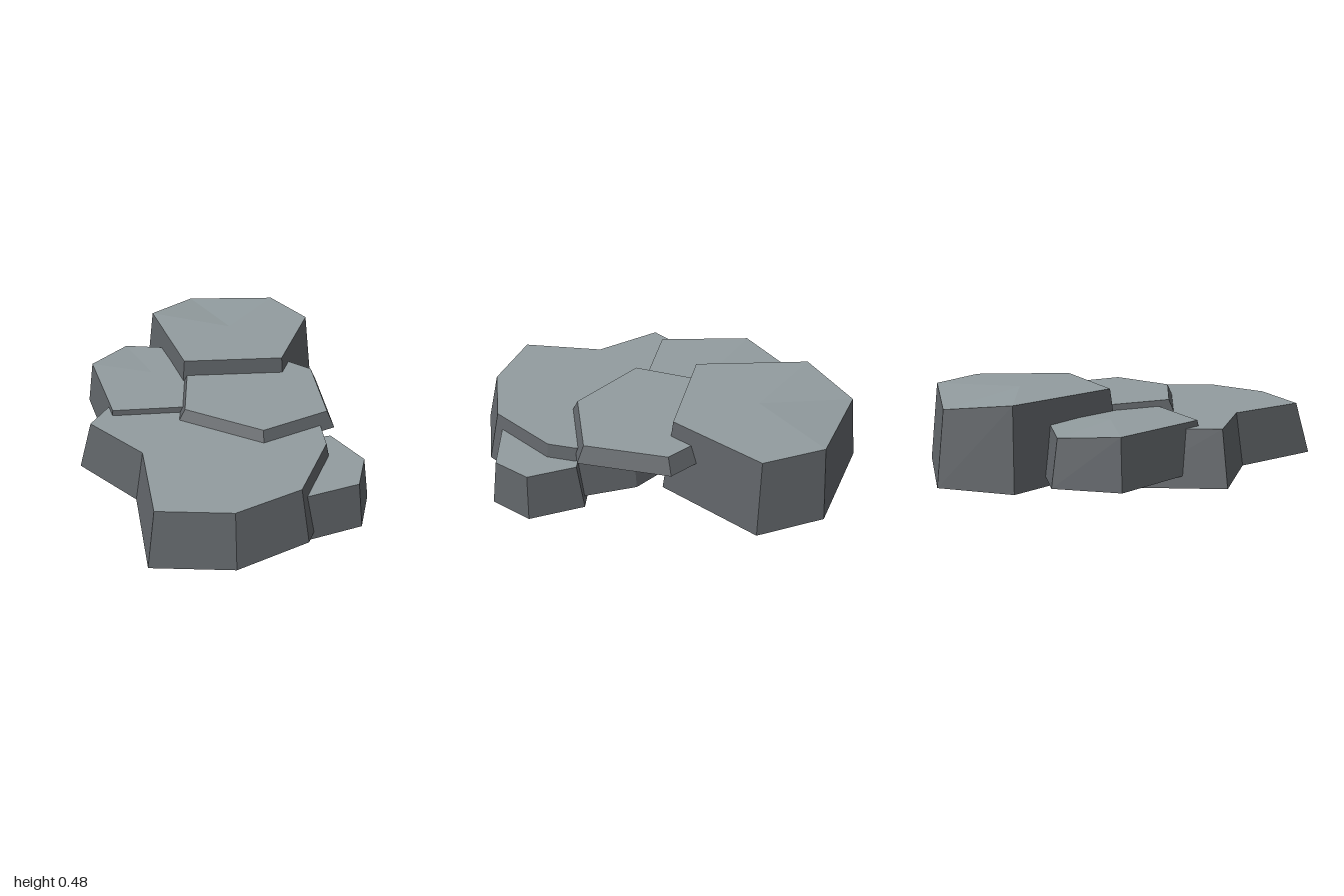
import * as THREE from 'three';

const topStone = new THREE.MeshStandardMaterial({ color: 0x929c9f, side: THREE.DoubleSide, flatShading: true });
topStone.name = 'paleStone';
const wallStone = new THREE.MeshStandardMaterial({ color: 0x5f6367, side: THREE.DoubleSide, flatShading: true });
wallStone.name = 'darkStone';

function meshFrom(points, material, name) {
  const geometry = new THREE.BufferGeometry();
  geometry.setAttribute('position', new THREE.Float32BufferAttribute(points.flat(), 3));
  geometry.computeVertexNormals();
  const mesh = new THREE.Mesh(geometry, material);
  mesh.name = name;
  return mesh;
}

// Tapered shell, open underneath. The foot is the top outline [x, z] spread
// about the centre by flare; drop lowers the first corner of the top.
function makeSlab(name, { foot, height, centre: [cx, cz], flare = 1.117, drop = 0, outline }) {
  const high = outline.map(([x, z], i) => [x, i === 0 ? height - drop : height, z]);
  const low = outline.map(([x, z]) => [cx + (x - cx) * flare, foot, cz + (z - cz) * flare]);
  const top = [];
  const walls = [];
  for (let i = 0; i < outline.length; i++) {
    const j = (i + 1) % outline.length;
    top.push([cx, height, cz], high[j], high[i]);
    walls.push(low[i], high[i], low[j], high[i], high[j], low[j]);
  }
  const slab = new THREE.Group();
  slab.name = name;
  slab.add(meshFrom(top, topStone, name + 'Top'), meshFrom(walls, wallStone, name + 'Walls'));
  return slab;
}

export function createModel() {
  const model = new THREE.Group();
  model.name = 'steppedRocks';

  // Tallest slab at the back
  model.add(makeSlab('tallBackSlab', {
    foot: 0.05, height: 0.48, centre: [-0.42, -0.4], drop: 0.04,
    outline: [[-0.94, -0.49], [-0.56, -0.86], [-0.22, -0.85], [0.065, -0.395], [-0.25, 0.065], [-0.855, -0.13]],
  }));

  // Slab tucked in front of it
  model.add(makeSlab('leftSlab', {
    foot: 0.1, height: 0.36, centre: [-0.43, 0.17], drop: 0.02,
    outline: [[-0.82, 0.1], [-0.52, -0.17], [-0.2, -0.2], [0, 0.21], [-0.23, 0.565], [-0.73, 0.395]],
  }));

  // Thin slab lying across the middle
  model.add(makeSlab('middleSlab', {
    foot: 0.3, height: 0.39, centre: [0.14, -0.15],
    outline: [[-0.28, -0.2], [-0.1, -0.47], [0.15, -0.55], [0.525, -0.315], [0.45, 0.07], [0.04, 0.275], [-0.24, 0.055]],
  }));

  // Broad notched slab at the front
  model.add(makeSlab('wideFrontSlab', {
    foot: 0.04, height: 0.33, centre: [0.25, 0.2],
    outline: [[-0.44, 0.28], [-0.2, -0.1], [0.25, -0.28], [0.55, -0.25], [0.68, -0.165],
      [0.875, 0.19], [0.81, 0.55], [0.565, 0.84], [0.155, 0.63], [-0.235, 0.705]],
  }));

  // Low slab at the side
  model.add(makeSlab('smallRightSlab', {
    foot: 0, height: 0.255, centre: [0.7, -0.08], flare: 1.165,
    outline: [[0.45, -0.05], [0.57, -0.31], [0.83, -0.3], [0.957, -0.13], [0.86, 0.165], [0.55, 0.12]],
  }));

  return model;
}
